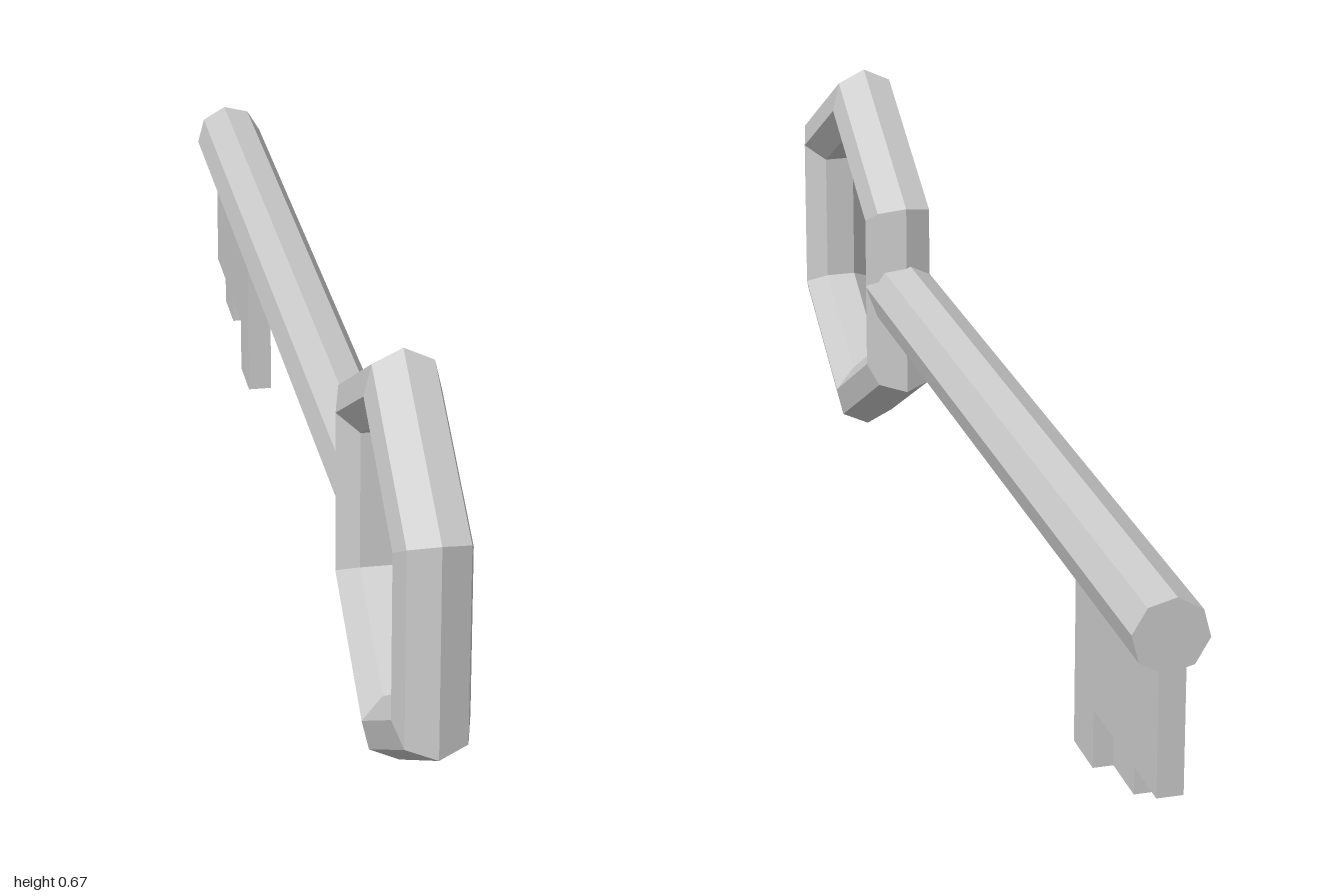
import * as THREE from 'three';

const material = new THREE.MeshStandardMaterial({ color: 0xcccccc, flatShading: true });

function part(name, geometry) {
  const mesh = new THREE.Mesh(geometry, material);
  mesh.name = name;
  return mesh;
}

export function createModel() {
  const key = new THREE.Group();
  key.name = 'key';

  // Six-sided handle ring with a seven-sided section, one corner pointing up
  const ring = new THREE.TorusGeometry(0.275, 0.058, 7, 6);
  ring.rotateZ(Math.PI / 2).rotateY(Math.PI / 2).translate(0, 0.337, 0.711);
  key.add(part('handleRing', ring));

  // Eight-sided shaft, turned a little about its axis, ending inside the ring
  const front = 0.48, back = -1;
  const shaft = new THREE.CylinderGeometry(0.058, 0.058, front - back, 8);
  shaft.rotateX(Math.PI / 2).rotateZ(THREE.MathUtils.degToRad(8));
  shaft.translate(0, 0.341, (front + back) / 2);
  key.add(part('shaft', shaft));

  // Notched bit: outline as (-z, y), extruded across x
  const outline = [
    [0.615, 0.32], [0.615, 0], [0.708, 0], [0.708, 0.095], [0.805, 0.095],
    [0.805, 0.052], [0.9, 0.052], [0.9, 0.095], [0.999, 0.095], [0.999, 0.32],
  ].map(([x, y]) => new THREE.Vector2(x, y));
  const bit = new THREE.ExtrudeGeometry(new THREE.Shape(outline), { depth: 0.04, bevelEnabled: false });
  bit.rotateY(Math.PI / 2).translate(-0.023, 0, 0);
  key.add(part('bit', bit));

  return key;
}
